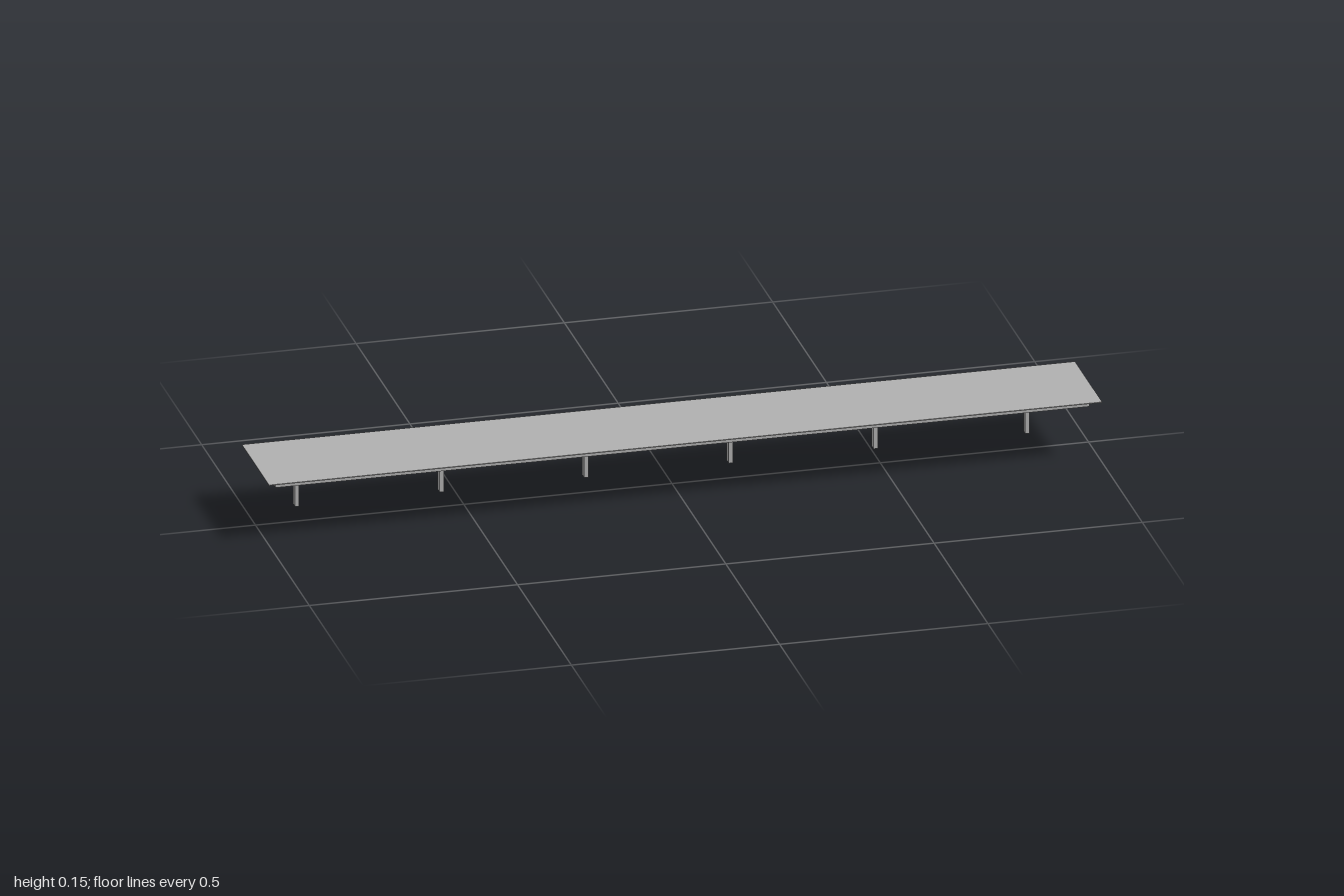
import * as THREE from 'three';

export function createModel() {
  const model = new THREE.Group();
  model.name = 'canopy';
  const grey = new THREE.MeshStandardMaterial({ color: 0xb0b0b0 });
  grey.name = 'grey metal';

  // Box given by its min and max corners
  const box = (name, [x0, y0, z0], [x1, y1, z1]) => {
    const mesh = new THREE.Mesh(new THREE.BoxGeometry(x1 - x0, y1 - y0, z1 - z0), grey);
    mesh.position.set((x0 + x1) / 2, (y0 + y1) / 2, (z0 + z1) / 2);
    mesh.name = name;
    model.add(mesh);
  };

  const beamY = 0.134, roofY = 0.15;
  const left = 0.976, right = -0.979, front = 0.104, back = -0.109;
  const beam = 0.012;

  // Thin flat roof
  box('roof', [-1, roofY, -0.126], [1, 0.152, 0.126]);

  // Perimeter frame under the roof
  box('frontBeam', [right, beamY, front - beam], [left, roofY, front]);
  box('backBeam', [right, beamY, back], [left, roofY, back + beam]);
  box('leftEndBeam', [left - beam, beamY, back + beam], [left, roofY, front - beam]);
  box('rightEndBeam', [right, beamY, back + beam], [right + beam, roofY, front - beam]);

  // Back posts, each carrying a cross beam
  for (const x of [-0.878, -0.531, -0.184, 0.163, 0.511, 0.875]) {
    box('post', [x - 0.005, 0, -0.103], [x + 0.005, beamY, -0.085]);
    box('crossBeam', [x - 0.005, beamY, back + beam], [x + 0.005, roofY, front - beam]);
  }
  return model;
}
